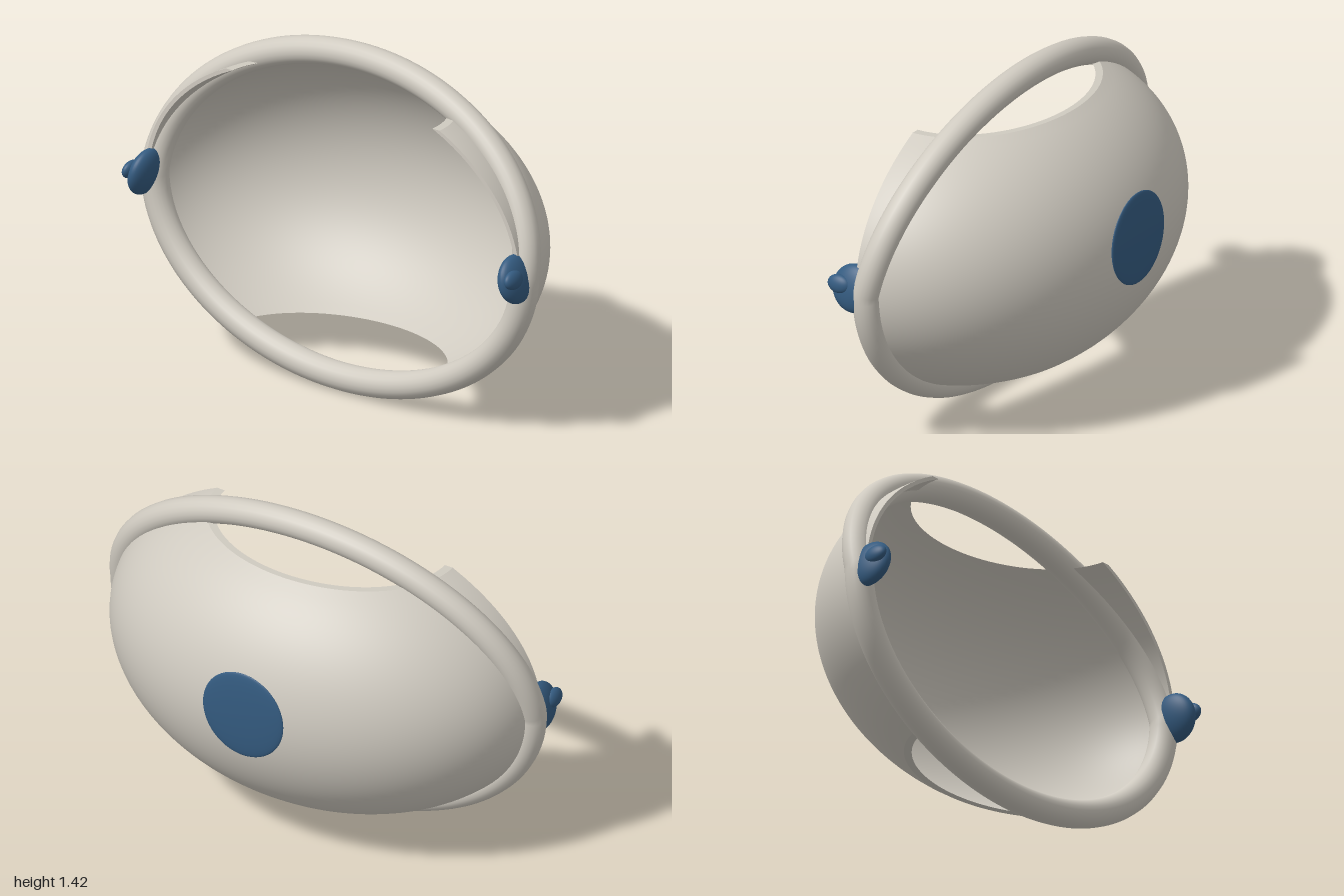
import * as THREE from 'three';

const CY = 0.708; // height of the hinge line and shell centre

// Elliptical hoop: flat lower half, upper half leaning back from the hinge
class HoopCurve extends THREE.Curve {
  getPoint(t, target = new THREE.Vector3()) {
    const a = t * Math.PI * 2;
    const rise = 0.652 * Math.sin(a);
    return target.set(0.94 * Math.cos(a), CY + rise, 0.258 - 0.235 * Math.max(0, rise));
  }
}

export function createModel() {
  const model = new THREE.Group();
  const grey = new THREE.MeshStandardMaterial({ color: 0xcfcac0 });
  grey.name = 'warm grey';
  const blue = new THREE.MeshStandardMaterial({ color: 0x345b80 });
  blue.name = 'slate blue';

  const add = (parent, name, geometry, material) => {
    const mesh = new THREE.Mesh(geometry, material);
    mesh.name = name;
    parent.add(mesh);
    return mesh;
  };

  // Flattened ellipsoid used for the pad and the knobs
  const ellipsoid = (parent, name, radii, position) => {
    const mesh = add(parent, name, new THREE.SphereGeometry(1, 40, 28), blue);
    mesh.scale.set(...radii);
    mesh.position.set(...position);
    return mesh;
  };

  // Hollow half-ellipsoid shell, cut level at the top and bottom
  const shell = new THREE.Group();
  shell.name = 'shell';
  shell.position.set(0, CY, 0.305);
  shell.scale.set(0.95, 1, 0.705);
  model.add(shell);

  const LOW = -0.537, HIGH = 0.535, STEPS = 40;
  const profile = (height, radius) => Array.from({ length: STEPS + 1 }, (_, i) => {
    const y = LOW + (HIGH - LOW) * i / STEPS;
    return new THREE.Vector2(radius * Math.sqrt(1 - (y / height) ** 2), y);
  });
  const outer = profile(0.652, 1);
  const inner = profile(0.638, 0.98).reverse();
  const sections = {
    shellOuter: outer,
    shellTopEdge: [outer[STEPS], inner[0]],
    shellInner: inner,
    shellBottomEdge: [inner[STEPS], outer[0]],
  };
  for (const [name, points] of Object.entries(sections)) {
    add(shell, name, new THREE.LatheGeometry(points, 72, Math.PI / 2, Math.PI), grey);
  }

  // Flat front rims closing the shell thickness on each side
  for (const side of [1, -1]) {
    const outline = [...outer, ...inner].map(p => new THREE.Vector2(side * p.x, p.y));
    add(shell, side > 0 ? 'leftRim' : 'rightRim', new THREE.ShapeGeometry(new THREE.Shape(outline)), grey);
  }

  // Bent tubular hoop
  add(model, 'hoop', new THREE.TubeGeometry(new HoopCurve(), 160, 0.057, 20, true), grey);

  // Round pad on the back
  ellipsoid(model, 'backPad', [0.185, 0.195, 0.018], [0, 0.765, -0.404]);

  // Hinge knobs with small outer grips
  for (const side of [1, -1]) {
    const knob = new THREE.Group();
    knob.name = side > 0 ? 'leftKnob' : 'rightKnob';
    knob.position.set(side * 0.94, 0.713, 0.315);
    knob.rotation.z = side * 0.2;
    model.add(knob);
    ellipsoid(knob, 'knobBody', [0.045, 0.1, 0.1], [0, 0, 0]);
    ellipsoid(knob, 'knobGrip', [0.024, 0.038, 0.052], [side * 0.034, 0.012, 0.054]);
  }

  return model;
}
